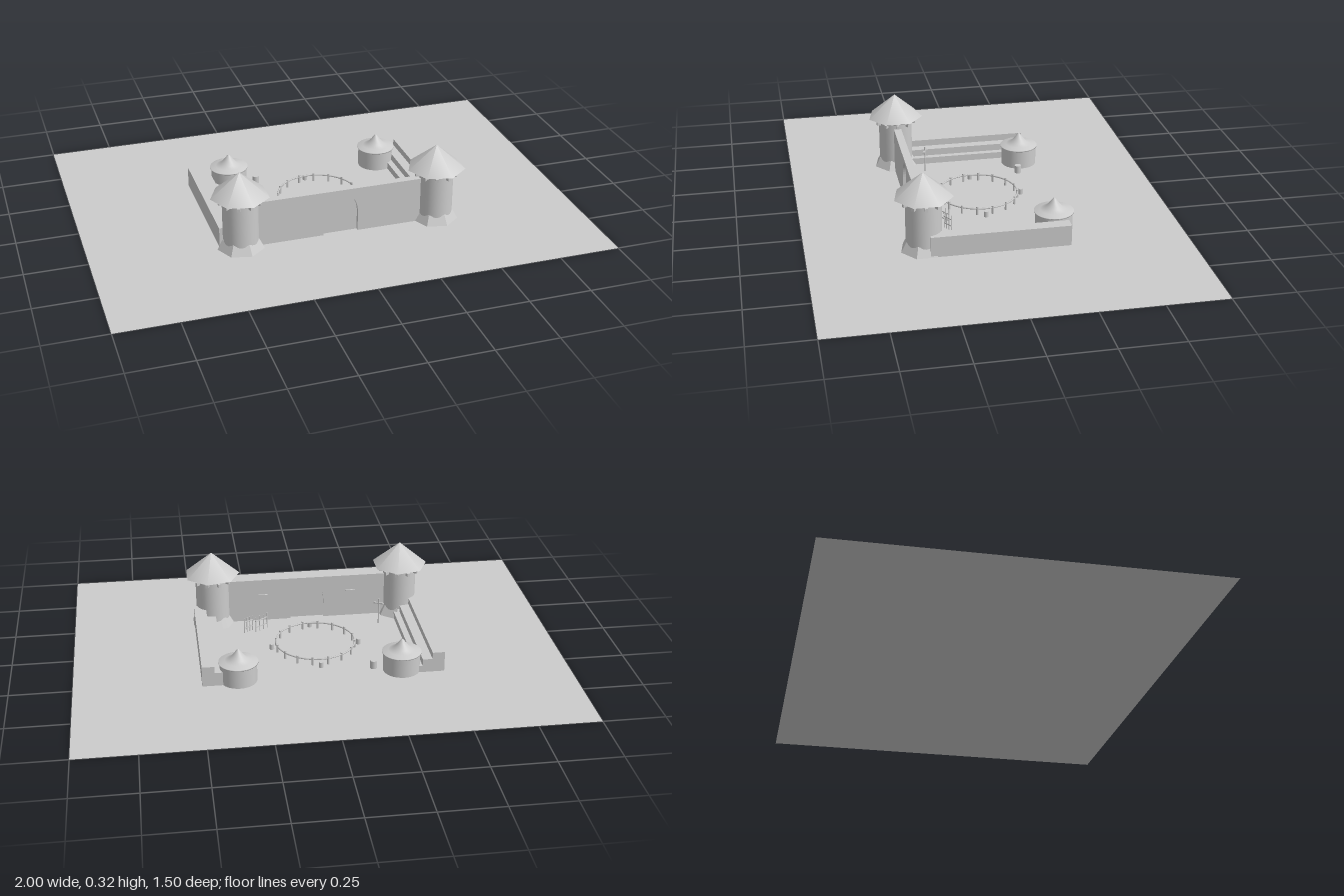
import * as THREE from 'three';

const grey = new THREE.MeshStandardMaterial({ color: 0xcccccc, side: THREE.DoubleSide });
const flat = new THREE.MeshStandardMaterial({ color: 0xcccccc, side: THREE.DoubleSide, flatShading: true });

function add(parent, name, geometry, x = 0, y = 0, z = 0, material = grey) {
  const mesh = new THREE.Mesh(geometry, material);
  mesh.name = name;
  mesh.position.set(x, y, z);
  parent.add(mesh);
  return mesh;
}

function group(parent, name, x = 0, z = 0, turn = 0) {
  const g = new THREE.Group();
  g.name = name;
  g.position.set(x, 0, z);
  g.rotation.y = turn;
  parent.add(g);
  return g;
}

const box = (w, h, d) => new THREE.BoxGeometry(w, h, d);
const post = (r, h, sides = 8) => new THREE.CylinderGeometry(r, r, h, sides);

// Arched outline standing on y = 0
function arch(path, w, spring, top) {
  path.moveTo(-w, 0);
  path.lineTo(-w, spring);
  path.bezierCurveTo(-w, spring + (top - spring) * 0.6, -w * 0.5, top, 0, top);
  path.bezierCurveTo(w * 0.5, top, w, spring + (top - spring) * 0.6, w, spring);
  path.lineTo(w, 0);
  path.closePath();
  return path;
}

const extrude = (shape, depth) =>
  new THREE.ExtrudeGeometry(shape, { depth, bevelEnabled: false, curveSegments: 12 });

// Tall gate tower with seven-sided roof and foot, a vertex towards -x
function gateTower(parent, x) {
  const t = group(parent, 'gateTower', x, 0.29);
  const seven = (rTop, rBottom, h) =>
    new THREE.CylinderGeometry(rTop, rBottom, h, 7, 1, false, -Math.PI / 2);
  add(t, 'towerFoot', seven(0.073, 0.095, 0.04), 0, 0.02, 0, flat);
  add(t, 'towerBody', post(0.071, 0.21, 32), 0, 0.105);
  add(t, 'roofEaves', seven(0.118, 0.08, 0.016), 0, 0.218, 0, flat);
  add(t, 'towerRoof', seven(0, 0.118, 0.099), 0, 0.2755);
  for (let i = 0; i < 10; i++) {
    const a = (i / 10) * Math.PI * 2;
    const b = add(t, 'eavesBracket', box(0.022, 0.014, 0.012), Math.cos(a) * 0.076, 0.204, Math.sin(a) * 0.076);
    b.rotation.y = -a;
  }
}

// Low round hut with a concave pointed roof
function hut(parent, x) {
  const h = group(parent, 'roundHut', x, -0.243);
  add(h, 'hutBody', post(0.075, 0.085, 28), 0, 0.0425);
  const profile = [[0, 0.08], [0.08, 0.08], [0.08, 0.084], [0.055, 0.09], [0.035, 0.099], [0.018, 0.118], [0.008, 0.132], [0, 0.14]];
  add(h, 'hutRoof', new THREE.LatheGeometry(profile.map(p => new THREE.Vector2(...p)), 28));
}

// Stepped seating bank, highest at the outside
function seating(parent, side) {
  const s = new THREE.Shape();
  [[0.49, 0], [0.49, 0.085], [0.44, 0.085], [0.44, 0.057], [0.4, 0.057], [0.4, 0.028], [0.375, 0.028], [0.375, 0]]
    .forEach(([x, y], i) => (i ? s.lineTo(x * side, y) : s.moveTo(x * side, y)));
  add(parent, 'steppedSeating', extrude(s, 0.555), 0, 0, -0.28);
}

// Small rack of upright poles
function rack(parent, x, z, length, turn) {
  const r = group(parent, 'poleRack', x, z, turn);
  for (const y of [0.022, 0.05]) add(r, 'rackBar', box(length, 0.004, 0.004), 0, y, 0);
  for (let i = 0; i < 4; i++) {
    add(r, 'rackPole', post(0.002, 0.07, 6), (i / 3 - 0.5) * length * 0.95, 0.035, 0);
  }
}

export function createModel() {
  const model = new THREE.Group();
  model.name = 'fortCourtyard';

  const ground = add(model, 'ground', new THREE.PlaneGeometry(2, 1.5));
  ground.rotation.x = -Math.PI / 2;

  // Gate wall with a recessed door
  const wall = new THREE.Shape([[-0.37, 0], [0.37, 0], [0.37, 0.19], [-0.37, 0.19]].map(p => new THREE.Vector2(...p)));
  // The opening cuts through the foot of the wall
  const outline = new THREE.Shape();
  outline.moveTo(-0.37, 0);
  outline.lineTo(-0.072, 0);
  outline.lineTo(-0.072, 0.085);
  outline.bezierCurveTo(-0.072, 0.14, -0.036, 0.175, 0, 0.175);
  outline.bezierCurveTo(0.036, 0.175, 0.072, 0.14, 0.072, 0.085);
  outline.lineTo(0.072, 0);
  outline.lineTo(0.37, 0);
  wall.getPoints().slice(2, 4).forEach(p => outline.lineTo(p.x, p.y));
  outline.closePath();
  add(model, 'gateWall', extrude(outline, 0.032), 0, 0, 0.273);
  add(model, 'gateDoor', extrude(arch(new THREE.Shape(), 0.072, 0.085, 0.175), 0.006), 0, 0, 0.286);
  for (const x of [-0.19, 0.19]) add(model, 'wallLedge', box(0.04, 0.005, 0.008), x, 0.12, 0.271);

  for (const side of [-1, 1]) {
    gateTower(model, side * 0.407);
    seating(model, side);
  }
  hut(model, -0.32);
  hut(model, 0.342);

  // Round fenced ring in the courtyard
  const ring = group(model, 'fencedRing');
  const rail = add(ring, 'fenceRail', new THREE.TorusGeometry(0.165, 0.0035, 6, 48), 0, 0.027, 0);
  rail.rotation.x = Math.PI / 2;
  for (let i = 0; i < 16; i++) {
    const a = ((i + 0.5) / 16) * Math.PI * 2;
    add(ring, 'fencePost', post(0.005, 0.036), Math.cos(a) * 0.165, 0.018, Math.sin(a) * 0.165);
  }
  for (let i = 0; i < 4; i++) {
    const a = (i * Math.PI) / 2;
    add(ring, 'ringBarrel', post(0.01, 0.024, 12), Math.cos(a) * 0.183, 0.012, Math.sin(a) * 0.183);
  }
  add(model, 'waterBarrel', post(0.014, 0.034, 14), -0.21, 0.017, -0.217);

  // Training gear beside the gate
  rack(model, 0.208, 0.18, 0.068, 0.63);
  rack(model, 0.265, 0.172, 0.045, 0.55);
  const dummy = group(model, 'trainingDummy', -0.3, 0.177, -0.45);
  add(dummy, 'dummyPost', post(0.003, 0.115), 0, 0.0575, 0);
  add(dummy, 'dummyArms', box(0.045, 0.006, 0.006), 0, 0.095, 0);

  return model;
}
